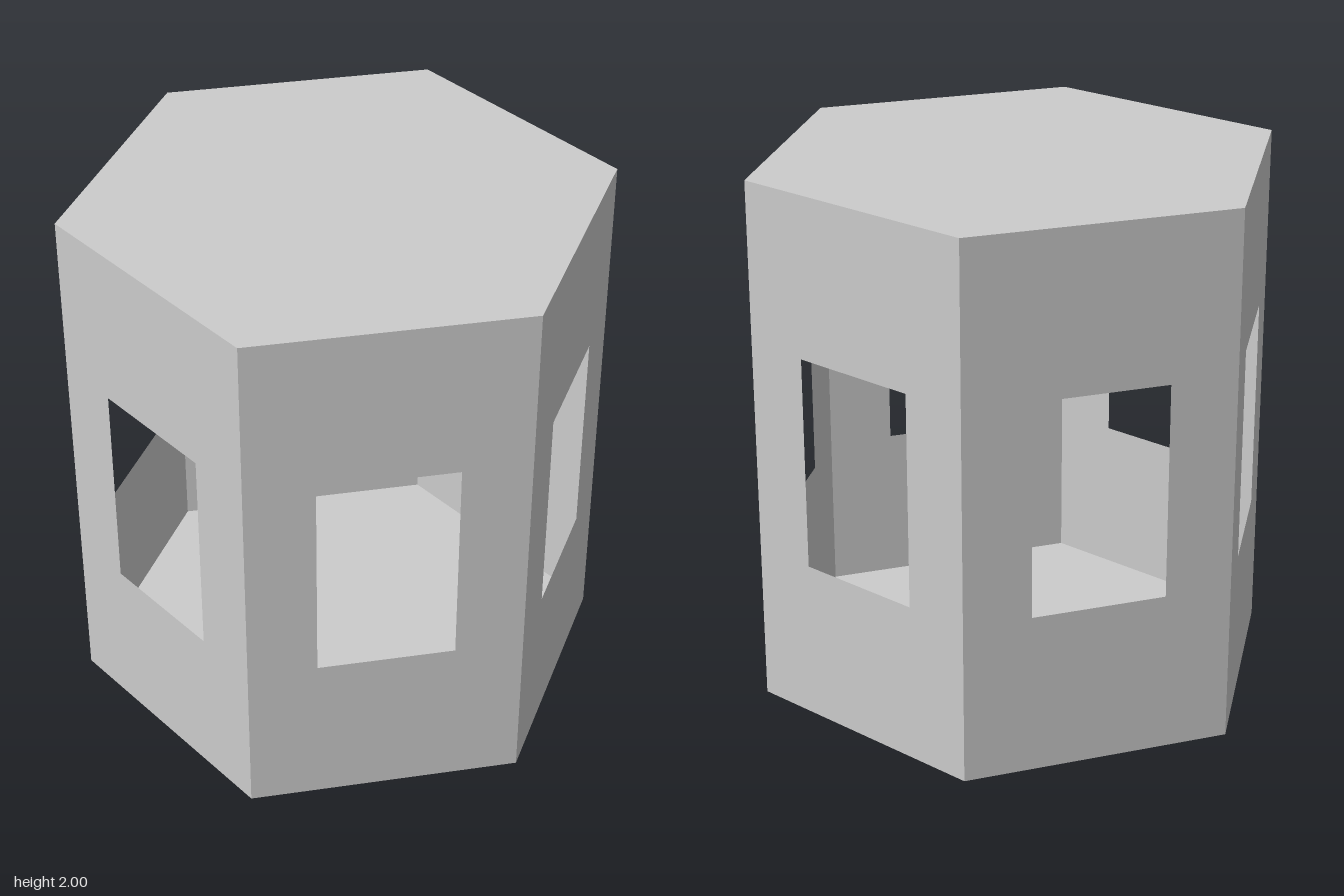
import * as THREE from 'three';

const SIDES = 6;
const RADIUS = 1;
const HEIGHT = 2;
const APOTHEM = RADIUS * Math.cos(Math.PI / SIDES);

const material = new THREE.MeshStandardMaterial({
  color: 0xcccccc, flatShading: true, side: THREE.DoubleSide,
});

// Corners of a rectangle centred on x = 0
const rect = (halfWidth, y0, y1) => [
  [-halfWidth, y0], [halfWidth, y0], [halfWidth, y1], [-halfWidth, y1],
].map(([x, y]) => new THREE.Vector2(x, y));

// Thin wall panel with a window opening
function wallGeometry() {
  const shape = new THREE.Shape(rect(RADIUS / 2, 0, HEIGHT));
  shape.holes.push(new THREE.Path(rect(0.25, 0.6, 1.4).reverse()));
  return new THREE.ShapeGeometry(shape);
}

export function createModel() {
  const model = new THREE.Group();
  model.name = 'hexagonalHouse';

  // Six walls around the centre, one facing +z
  const wall = wallGeometry();
  for (let i = 0; i < SIDES; i++) {
    const angle = (i / SIDES) * Math.PI * 2;
    const mesh = new THREE.Mesh(wall, material);
    mesh.name = `windowWall${i + 1}`;
    mesh.position.set(Math.sin(angle) * APOTHEM, 0, Math.cos(angle) * APOTHEM);
    mesh.rotation.y = angle;
    model.add(mesh);
  }

  // Flat roof and floor
  const cap = new THREE.CircleGeometry(RADIUS, SIDES);
  for (const [name, y, tilt] of [['roof', HEIGHT, -1], ['floor', 0, 1]]) {
    const mesh = new THREE.Mesh(cap, material);
    mesh.name = name;
    mesh.position.y = y;
    mesh.rotation.x = tilt * Math.PI / 2;
    model.add(mesh);
  }
  return model;
}
